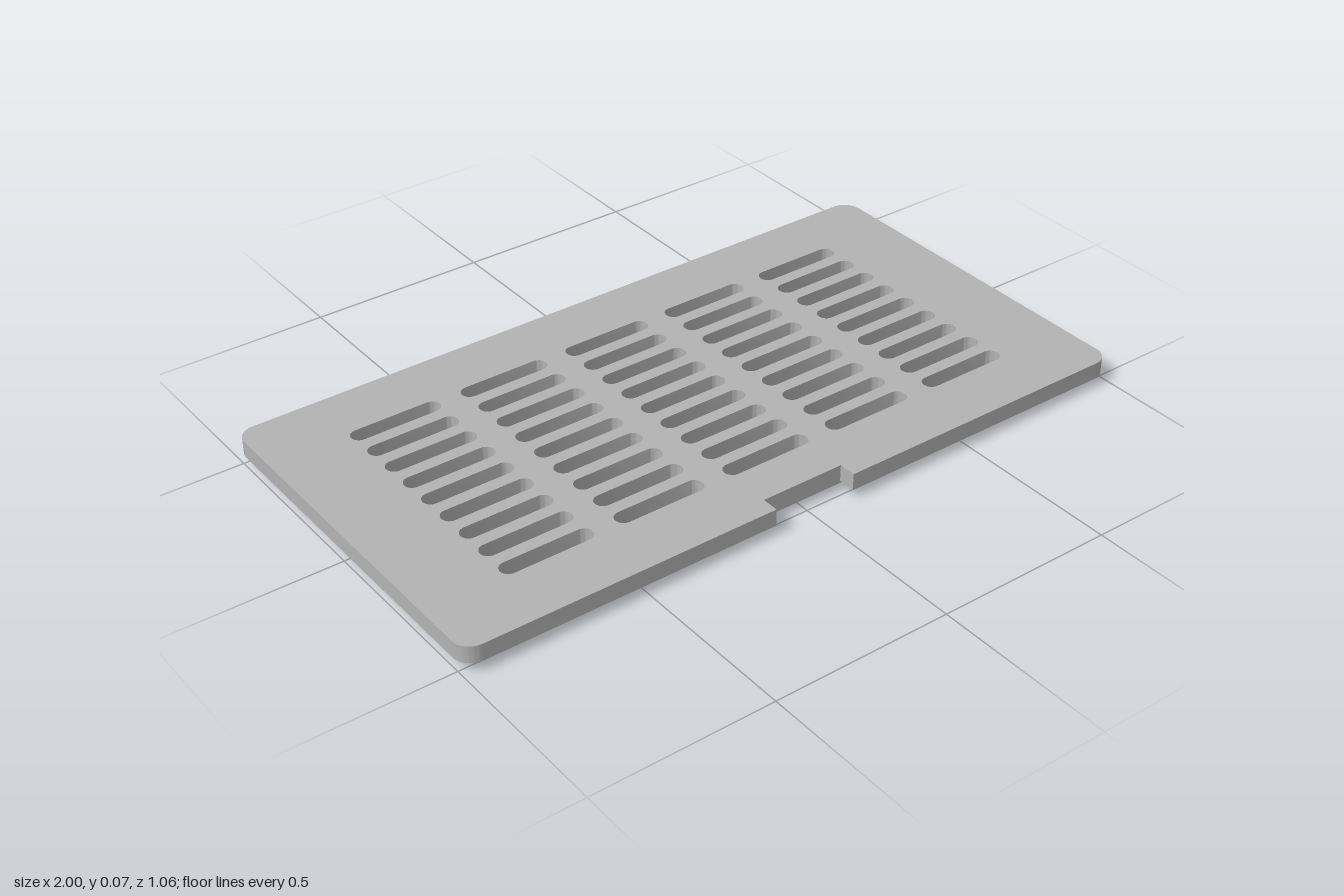
import * as THREE from 'three';
import { toCreasedNormals } from 'three/addons/utils/BufferGeometryUtils.js';

const HALF_X = 1, HALF_Z = 0.531, CORNER = 0.05;
const STEP_Y = 0.028, TOP_Y = 0.075;

// Rounded-end slot centred on (cx, cy)
function slotPath(cx, cy, length, width) {
  const r = width / 2, h = length / 2 - r;
  const p = new THREE.Path();
  p.moveTo(cx - h, cy - r);
  p.lineTo(cx + h, cy - r);
  p.absarc(cx + h, cy, r, -Math.PI / 2, Math.PI / 2, false);
  p.lineTo(cx - h, cy + r);
  p.absarc(cx - h, cy, r, Math.PI / 2, Math.PI * 1.5, false);
  return p;
}

// Five columns by nine rows of vent slots
function addSlots(shape) {
  for (let col = -2; col <= 2; col++) {
    for (let row = -4; row <= 4; row++) {
      shape.holes.push(slotPath(col * 0.325, row * 0.0843, 0.258, 0.048));
    }
  }
}

// Shape extruded upwards from y0 to y1 (shape y points to -z)
function plate(name, shape, y0, y1, material) {
  addSlots(shape);
  const geo = new THREE.ExtrudeGeometry(shape, { depth: y1 - y0, bevelEnabled: false, curveSegments: 10 });
  geo.rotateX(-Math.PI / 2);
  geo.translate(0, y0, 0);
  const mesh = new THREE.Mesh(toCreasedNormals(geo, 0.6), material);
  mesh.name = name;
  return mesh;
}

export function createModel() {
  const group = new THREE.Group();
  group.name = 'ventCover';
  const grey = new THREE.MeshStandardMaterial({ color: 0xb3b3b3 });
  grey.name = 'grey';

  // Cover plate: rounded corners and a finger notch in the front edge
  const x = HALF_X, z = HALF_Z, r = CORNER;
  const cover = new THREE.Shape();
  cover.moveTo(-x + r, -z);
  cover.lineTo(-0.122, -z);
  cover.lineTo(-0.122, -0.483);
  cover.lineTo(0.118, -0.483);
  cover.lineTo(0.118, -z);
  cover.lineTo(x - r, -z);
  cover.absarc(x - r, -z + r, r, -Math.PI / 2, 0, false);
  cover.lineTo(x, z - r);
  cover.absarc(x - r, z - r, r, 0, Math.PI / 2, false);
  cover.lineTo(-x + r, z);
  cover.absarc(-x + r, z - r, r, Math.PI / 2, Math.PI, false);
  cover.lineTo(-x, -z + r);
  cover.absarc(-x + r, -z + r, r, Math.PI, Math.PI * 1.5, false);
  group.add(plate('coverPlate', cover, STEP_Y, TOP_Y, grey));

  // Smaller square-cornered step underneath
  const step = new THREE.Shape();
  step.moveTo(-0.977, -0.46);
  step.lineTo(0.974, -0.46);
  step.lineTo(0.974, 0.46);
  step.lineTo(-0.977, 0.46);
  step.closePath();
  group.add(plate('lowerStep', step, 0, STEP_Y, grey));

  return group;
}
